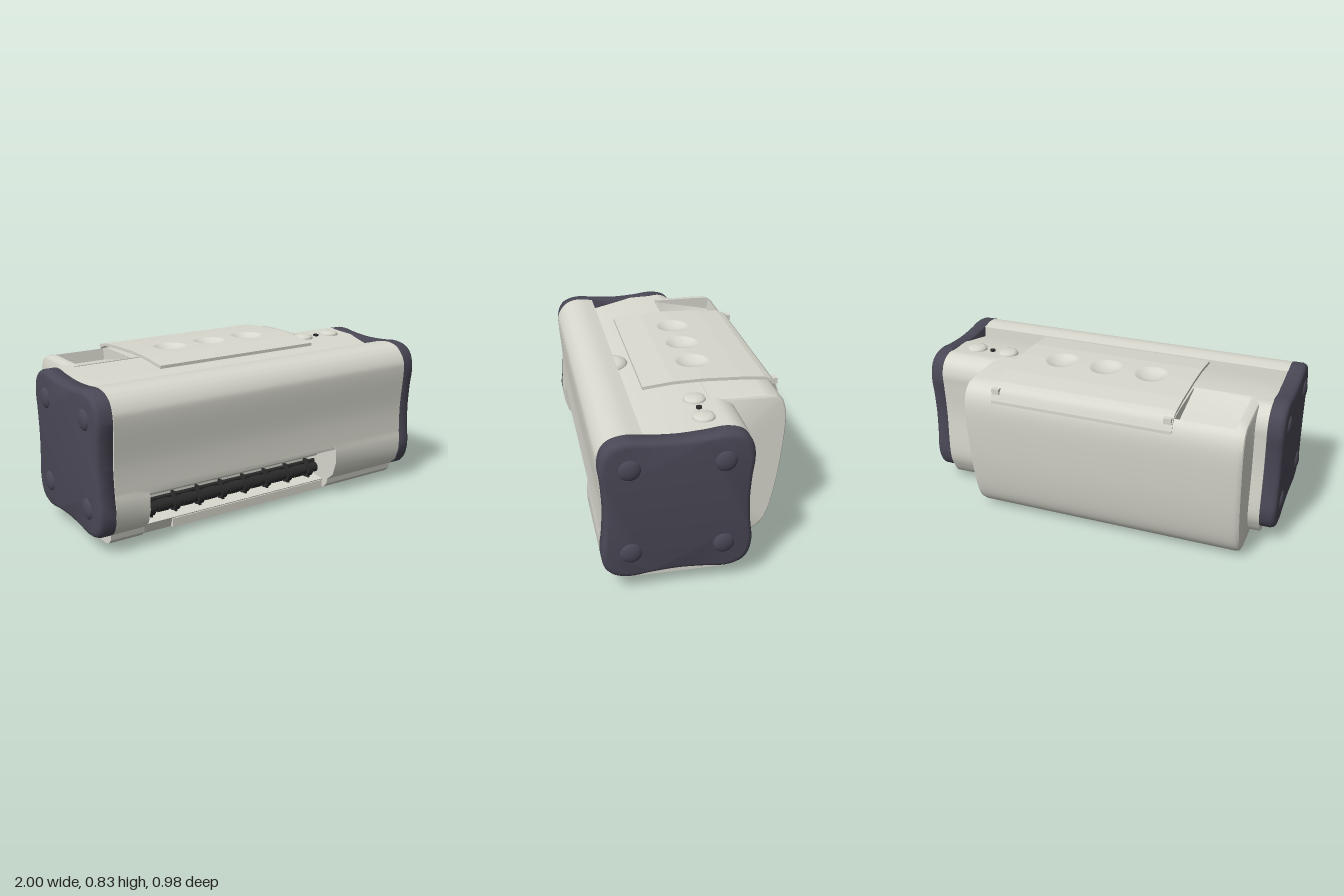
import * as THREE from 'three';
import { toCreasedNormals } from 'three/addons/utils/BufferGeometryUtils.js';

const mat = (color) => new THREE.MeshStandardMaterial({ color });

// Smooth open curve through [z, y] points
function smooth(pts, n) {
  const curve = new THREE.SplineCurve(pts.map((p) => new THREE.Vector2(...p)));
  return curve.getPoints(n).map((v) => [v.x, v.y]);
}

// Skin cross-sections [x, profile of [z, y]] along x and close both ends.
// Two sections at the same x make a step wall.
function loft(sections, crease = 0.6) {
  const flat = sections.map(([, p]) => p.map(([z, y]) => new THREE.Vector2(-z, y)));
  if (THREE.ShapeUtils.isClockWise(flat[0])) flat.forEach((p) => p.reverse());
  const rings = flat.map((p, i) => p.map((v) => new THREE.Vector3(sections[i][0], v.y, -v.x)));
  const pos = [];
  const tri = (a, b, c) => {
    const area = b.clone().sub(a).cross(c.clone().sub(a)).length();
    if (area > 1e-9) pos.push(...a, ...b, ...c);
  };
  const n = rings[0].length;
  for (let s = 0; s + 1 < rings.length; s++) {
    const a = rings[s], b = rings[s + 1];
    for (let i = 0; i < n; i++) {
      const j = (i + 1) % n;
      tri(a[i], a[j], b[j]);
      tri(a[i], b[j], b[i]);
    }
  }
  const last = rings.length - 1;
  for (const [i, j, k] of THREE.ShapeUtils.triangulateShape(flat[0], [])) tri(rings[0][i], rings[0][k], rings[0][j]);
  for (const [i, j, k] of THREE.ShapeUtils.triangulateShape(flat[last], [])) tri(rings[last][i], rings[last][j], rings[last][k]);
  const g = new THREE.BufferGeometry();
  g.setAttribute('position', new THREE.Float32BufferAttribute(pos, 3));
  return toCreasedNormals(g, crease);
}

const scaled = (pts, s, cz, cy) => pts.map(([z, y]) => [cz + (z - cz) * s, cy + (y - cy) * s]);

// Sunken pocket in the top, sloping down to the back
const sink = (pts, gap) => pts.map(([z, y]) =>
  [z, z < -0.1 && z > -0.435 ? Math.min(y, 0.785 + (z + 0.11) * 0.2 - gap) : y]);

// Height of the lid at a given z
const lidLine = [[-0.49, 0.735], [-0.475, 0.78], [-0.455, 0.803], [-0.42, 0.815], [-0.3, 0.826],
  [-0.1, 0.834], [0.05, 0.831], [0.2, 0.815]];
function lidHeight(z) {
  let i = 0;
  while (i < lidLine.length - 2 && z > lidLine[i + 1][0]) i++;
  const [z0, y0] = lidLine[i], [z1, y1] = lidLine[i + 1];
  return y0 + ((y1 - y0) * (z - z0)) / (z1 - z0);
}

export function createModel() {
  const group = new THREE.Group();
  const shell = mat(0xd8d8ce), dark = mat(0x4a4856), black = mat(0x2a2a2a);
  const add = (name, geometry, material, x = 0, y = 0, z = 0, parent = group) => {
    const m = new THREE.Mesh(geometry, material);
    m.name = name;
    m.position.set(x, y, z);
    parent.add(m);
    return m;
  };

  // Main body with a recessed top and a paper slot low in the front
  const upper = [
    ...smooth([[-0.2, 0.1], [-0.232, 0.2], [-0.225, 0.45], [-0.232, 0.62], [-0.235, 0.7],
      [-0.21, 0.76], [-0.15, 0.792], [-0.08, 0.79]], 42),
    [0.04, 0.785], [0.27, 0.73], [0.275, 0.787],
    ...smooth([[0.28, 0.788], [0.36, 0.797], [0.43, 0.778], [0.48, 0.72], [0.49, 0.65],
      [0.476, 0.45], [0.48, 0.3]], 36),
  ];
  const under = [[-0.12, 0.025], [-0.17, 0.055]];
  const full = [...upper, [0.485, 0.28], [0.487, 0.2], [0.465, 0.13], [0.42, 0.09],
    [0.415, 0.06], [0.39, 0.035], [0.35, 0.025], ...under];
  const slot = [...upper, [0.478, 0.28], [0.37, 0.25], [0.32, 0.2], [0.25, 0.19],
    [0.25, 0.09], [0.38, 0.08], [0.36, 0.025], ...under];
  const fullSunk = sink(full, 0.004), slotSunk = sink(slot, 0.004);
  add('body', loft([[-0.9, full], [-0.79, full], [-0.79, fullSunk], [-0.72, fullSunk], [-0.72, slotSunk],
    [-0.49, slotSunk], [-0.49, slot], [0.43, slot], [0.43, full], [0.9, full]]), shell);

  // Rear housing
  const rear = [
    ...smooth([[-0.05, 0.003], [-0.18, 0.006], [-0.3, 0.012], [-0.37, 0.045], [-0.42, 0.13], [-0.46, 0.32],
      [-0.485, 0.55], [-0.489, 0.68], [-0.472, 0.75], [-0.44, 0.782]], 45),
    [-0.43, 0.788], [-0.37, 0.795], [-0.12, 0.795], [-0.1, 0.795], [-0.1, 0.4], [-0.1, 0.05], [-0.05, 0.02],
  ];
  const rearSunk = sink(rear, 0);
  const inset = (s) => scaled(rear, s, -0.25, 0.4);
  add('rearHousing', loft([[-0.84, inset(0.965)], [-0.835, inset(0.985)], [-0.815, rear], [-0.79, rear],
    [-0.79, rearSunk], [-0.49, rearSunk], [-0.49, rear], [0.605, rear], [0.625, inset(0.985)],
    [0.63, inset(0.965)]]), shell);

  // Dark end caps with four round studs each
  const quarter = [[0.343, 0], [0.35, 0.13], [0.36, 0.23], [0.342, 0.305], [0.305, 0.342], [0.23, 0.36], [0.13, 0.35]];
  const ring = [];
  for (let q = 0; q < 4; q++) {
    const c = Math.round(Math.cos(q * Math.PI / 2)), s = Math.round(Math.sin(q * Math.PI / 2));
    quarter.forEach(([a, b]) => ring.push(new THREE.Vector3(0.127 + a * c - b * s, 0.438 + a * s + b * c, 0)));
  }
  const outline = new THREE.CatmullRomCurve3(ring, true).getPoints(112).slice(0, -1).map((v) => [v.x, v.y]);
  const cap = (s) => scaled(outline, s, 0.127, 0.438);
  const capGeometry = loft([[-0.045, cap(0.985)], [-0.04, cap(1)], [0.015, cap(1)], [0.03, cap(0.985)],
    [0.038, cap(0.965)], [0.042, cap(0.93)]], 0.8);
  const studGeometry = new THREE.SphereGeometry(0.053, 32, 16).scale(0.4, 1, 1);
  for (const side of [1, -1]) {
    const end = new THREE.Group();
    end.name = side > 0 ? 'leftEndCap' : 'rightEndCap';
    end.position.x = 0.942 * side;
    if (side < 0) end.rotation.y = Math.PI;
    group.add(end);
    const panel = add('capPanel', capGeometry, dark, 0, 0, 0, end);
    if (side < 0) panel.position.z = -0.254; // the outline is symmetric about z = 0.127
    for (const z of [0.35, -0.09]) for (const y of [0.66, 0.22]) {
      add('stud', studGeometry, dark, 0.037, y, z * side, end);
    }
  }

  // Curved lid with three round finger dents
  const lid = new THREE.BoxGeometry(0.96, 0.016, 0.69, 160, 1, 115);
  const p = lid.attributes.position;
  for (let i = 0; i < p.count; i++) {
    const x = p.getX(i) - 0.01, z = p.getZ(i) - 0.145;
    let y = lidHeight(z) + p.getY(i) - 0.008;
    for (const dx of [-0.26, -0.01, 0.24]) {
      const r = Math.hypot(x - dx, z + 0.1) / 0.085;
      if (r < 1) y -= 0.024 * (1 - r * r);
    }
    p.setXYZ(i, x, y, z);
  }
  lid.computeVertexNormals();
  add('lid', lid, shell);
  for (const x of [-0.465, 0.445]) add('lidHinge', new THREE.BoxGeometry(0.04, 0.03, 0.025), shell, x, 0.785, -0.475);

  // Finger bump in front of the lid
  add('lidCatch', new THREE.SphereGeometry(0.075, 32, 16, 0, Math.PI).rotateY(Math.PI).scale(1, 0.6, 1),
    shell, -0.005, 0.735, 0.271);

  // Buttons and indicator light
  const buttonProfile = [[0, 0.018], [0.035, 0.016], [0.05, 0.01], [0.055, 0], [0.055, -0.02]]
    .reverse().map((v) => new THREE.Vector2(...v));
  for (const x of [0.595, 0.785]) add('button', new THREE.LatheGeometry(buttonProfile, 40), shell, x, 0.79, -0.03);
  add('indicatorLight', new THREE.CylinderGeometry(0.015, 0.015, 0.02, 20), black, 0.69, 0.787, -0.03);

  // Paper feed roller with rings inside the front slot
  const bar = (r, w) => new THREE.CylinderGeometry(r, r, w, 20).rotateZ(Math.PI / 2);
  add('rollerShaft', bar(0.028, 1.13), black, -0.145, 0.135, 0.32);
  add('guideRod', bar(0.01, 1.13), black, -0.145, 0.172, 0.31);
  for (let i = 0; i < 8; i++) {
    const x = -0.637 + i * 0.1425;
    add('rollerRing', bar(0.043, 0.03), black, x, 0.135, 0.32);
    add('ringFin', new THREE.BoxGeometry(0.012, 0.1, 0.05), black, x, 0.14, 0.32);
    if (i < 7) add('rollerSleeve', bar(0.034, 0.06), black, x + 0.071, 0.135, 0.32);
  }

  // Lip below the slot
  add('slotLip', new THREE.BoxGeometry(0.96, 0.046, 0.02), shell, -0.06, 0.052, 0.375);
  return group;
}
